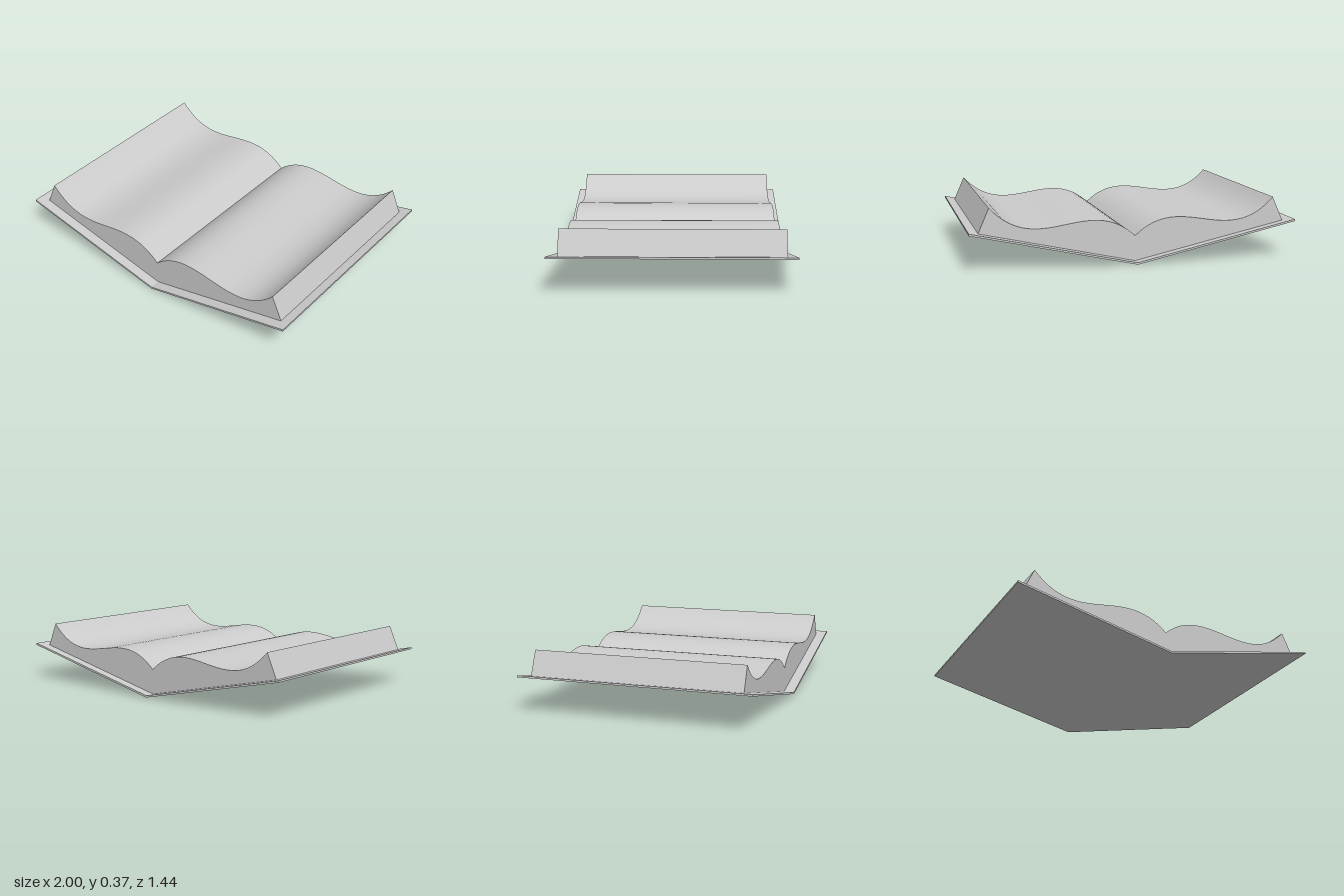
import * as THREE from 'three';
import { toCreasedNormals } from 'three/addons/utils/BufferGeometryUtils.js';

const COVER_T = 0.012; // cover thickness
const SLOPE = 0.22;    // rise of each cover half from the spine
const onCover = (x) => COVER_T + Math.abs(x) * SLOPE;

// Extrude a front outline from z0 to z1, smooth along curves, sharp at corners
function extrude(name, shape, z0, z1, material) {
  const geometry = new THREE.ExtrudeGeometry(shape, {
    depth: z1 - z0, bevelEnabled: false, curveSegments: 32,
  });
  geometry.translate(0, 0, z0);
  const mesh = new THREE.Mesh(toCreasedNormals(geometry, Math.PI / 9), material);
  mesh.name = name;
  return mesh;
}

export function createModel() {
  const book = new THREE.Group();
  book.name = 'openBook';
  const material = new THREE.MeshStandardMaterial({ color: 0xcccccc });

  // Cover: a thin shallow V
  const cover = new THREE.Shape();
  cover.moveTo(0, 0);
  cover.lineTo(1, SLOPE);
  cover.lineTo(1, onCover(1));
  cover.lineTo(0, COVER_T);
  cover.lineTo(-1, onCover(1));
  cover.lineTo(-1, SLOPE);
  cover.closePath();
  book.add(extrude('cover', cover, -0.72, 0.72, material));

  // Pages: two mirrored wavy stacks meeting in the gutter, with slanted fore-edges
  const pages = new THREE.Shape();
  pages.moveTo(0, COVER_T);
  pages.lineTo(0.94, onCover(0.94));
  pages.lineTo(0.875, 0.367);
  pages.bezierCurveTo(0.583, 0.045, 0.292, 0.44, 0, 0.165);
  pages.bezierCurveTo(-0.292, 0.44, -0.583, 0.045, -0.875, 0.367);
  pages.lineTo(-0.94, onCover(0.94));
  pages.closePath();
  book.add(extrude('pages', pages, -0.66, 0.655, material));

  return book;
}
